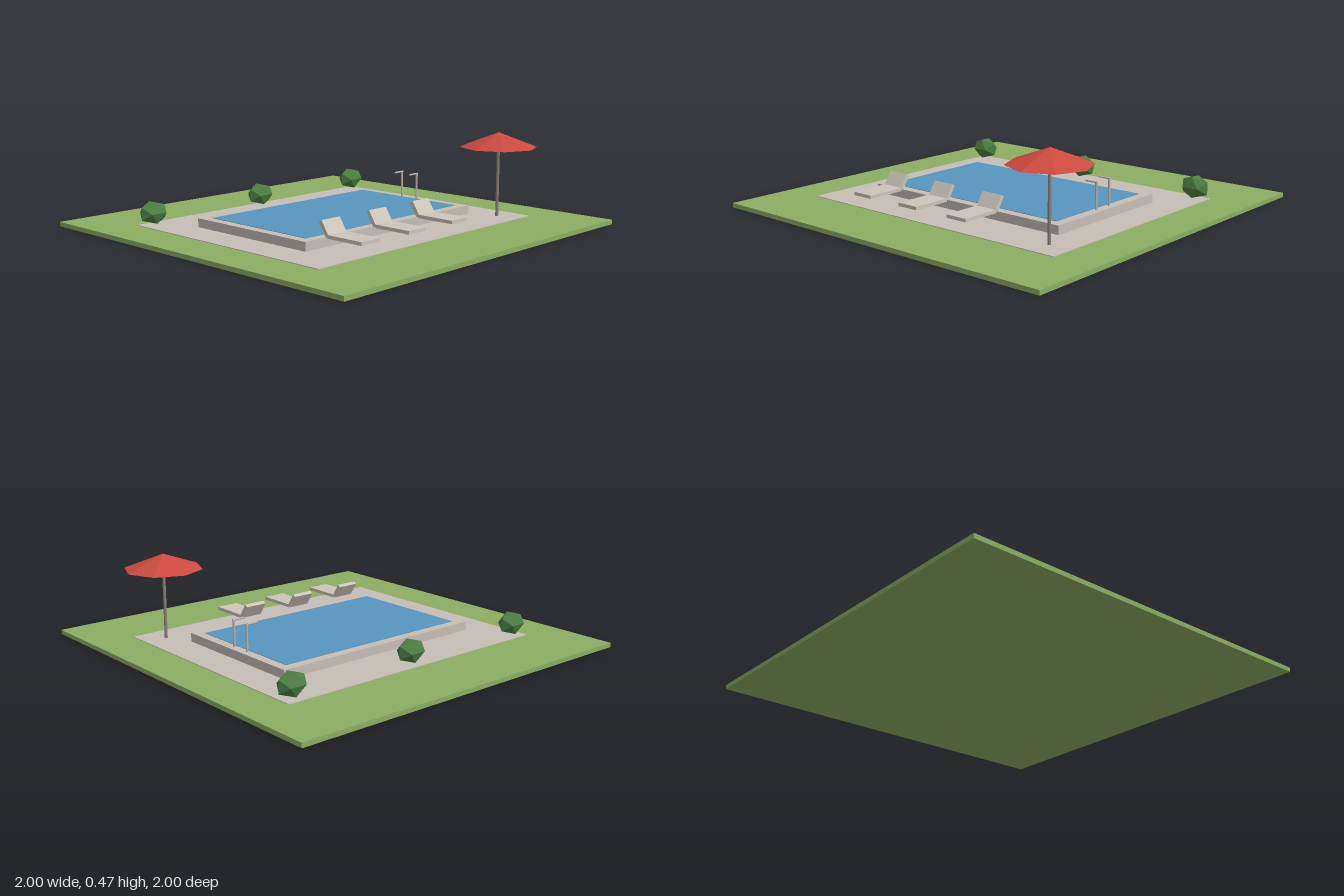
import * as THREE from 'three';

const material = (name, color, flatShading = false) => {
  const m = new THREE.MeshStandardMaterial({ color, flatShading });
  m.name = name;
  return m;
};

export function createModel() {
  const grass = material('grass green', 0x8cae62);
  const stone = material('stone', 0xc6beb6);
  const water = material('water blue', 0x5896be);
  const fabric = material('lounger cream', 0xccc5ba);
  const metal = material('rail metal', 0xc0b6ae);
  const poleGrey = material('pole grey', 0x8a827c);
  const red = material('parasol red', 0xcc4a3e, true);
  const leaf = material('leaf green', 0x4c7f43, true);

  const model = new THREE.Group();
  model.name = 'poolGarden';

  const add = (parent, name, geometry, mat, x, y, z) => {
    const mesh = new THREE.Mesh(geometry, mat);
    mesh.name = name;
    mesh.position.set(x, y, z);
    parent.add(mesh);
    return mesh;
  };
  // Box given by its bottom and top heights
  const slab = (parent, name, mat, w, d, y0, y1, x = 0, z = 0) =>
    add(parent, name, new THREE.BoxGeometry(w, y1 - y0, d), mat, x, (y0 + y1) / 2, z);
  const group = (name, x, z) => {
    const g = new THREE.Group();
    g.name = name;
    g.position.set(x, 0, z);
    model.add(g);
    return g;
  };

  // Ground and pool
  slab(model, 'lawn', grass, 2, 2, 0, 0.023);
  slab(model, 'patio', stone, 1.56, 1.28, 0.015, 0.026);
  slab(model, 'poolRim', stone, 1.2, 0.76, 0.02, 0.071);
  slab(model, 'poolWater', water, 1.1, 0.66, 0.068, 0.073);

  // Sun loungers, backrests leaning towards the pool
  for (const x of [-0.44, -0.12, 0.2]) {
    const lounger = group('lounger', x, 0);
    slab(lounger, 'loungerSeat', fabric, 0.12, 0.21, 0.076, 0.093, 0, 0.525);
    const back = add(lounger, 'loungerBack', new THREE.BoxGeometry(0.12, 0.02, 0.08), fabric, 0, 0.118, 0.396);
    back.rotation.x = THREE.MathUtils.degToRad(57);
  }

  // Pool handrails: upright post with an arm over the water
  for (const z of [-0.052, 0.052]) {
    const rail = group('handrail', 0.567, z);
    add(rail, 'railPost', new THREE.CylinderGeometry(0.006, 0.006, 0.14, 8), metal, 0, 0.138, 0);
    const arm = add(rail, 'railArm', new THREE.CylinderGeometry(0.005, 0.005, 0.068, 8), metal, -0.027, 0.206, 0);
    arm.rotation.z = Math.PI / 2;
  }

  // Parasol
  const parasol = group('parasol', 0.66, 0.52);
  add(parasol, 'parasolPole', new THREE.CylinderGeometry(0.008, 0.008, 0.4, 8), poleGrey, 0, 0.222, 0);
  add(parasol, 'parasolCanopy', new THREE.ConeGeometry(0.2, 0.076, 8), red, 0, 0.427, 0);

  // Faceted bushes along the back
  const bushShape = new THREE.IcosahedronGeometry(1, 0).rotateY(Math.PI / 2).scale(0.083, 0.063, 0.059);
  for (const x of [-0.72, 0, 0.72]) add(model, 'bush', bushShape, leaf, x, 0.089, -0.585);

  return model;
}
